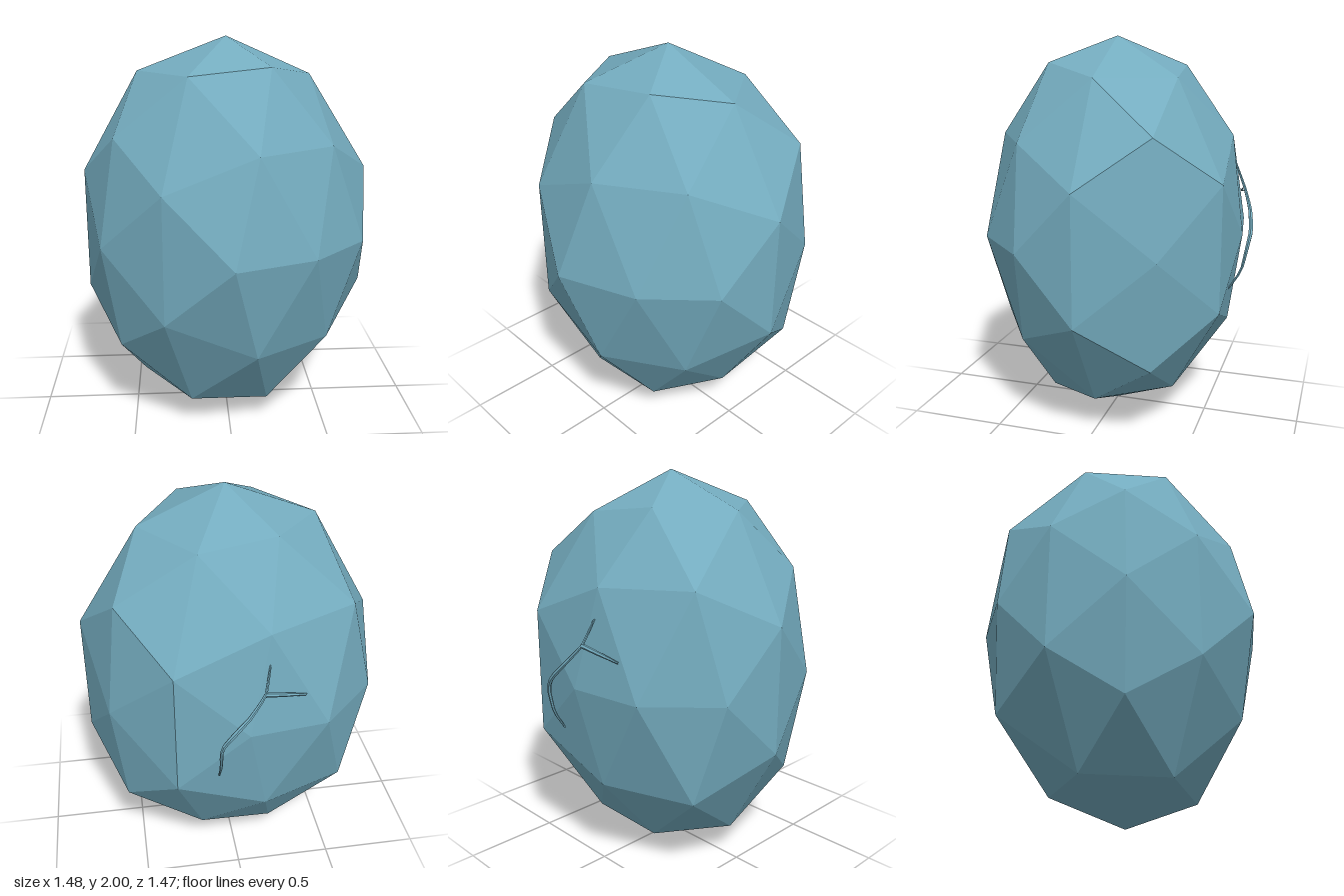
import * as THREE from 'three';
import { ConvexGeometry } from 'three/addons/geometries/ConvexGeometry.js';

// Corners of the upper half (x, height above the middle, z), mirrored for the lower half
const UPPER = [
  [0, 1, 0],
  [0.2, 0.87, 0.3], [-0.2, 0.85, -0.32], [0.43, 0.81, -0.01],
  [-0.2, 0.835, 0.36], [-0.45, 0.83, 0], [0.18, 0.805, -0.36],
  [-0.56, 0.54, 0.3], [0.57, 0.56, -0.34],
  [0.5, 0.5, 0.35], [0.12, 0.5, 0.59], [-0.12, 0.5, -0.59], [-0.56, 0.52, -0.4],
  [0.74, 0.32, -0.01], [-0.33, 0.32, 0.58], [-0.74, 0.32, -0.01], [0.33, 0.32, -0.62],
];
const EQUATOR = [
  [0.68, 0.3], [0.4, 0.58], [0, 0.73], [-0.64, 0.35],
  [-0.7, -0.33], [-0.41, -0.62], [-0.02, -0.67], [0.63, -0.38],
];

// Tube through the points whose radius runs from r0 via rMid to r1
function twigGeometry(points, r0, rMid, r1) {
  const curve = new THREE.CatmullRomCurve3(
    points.map((p) => new THREE.Vector3(...p)), false, 'catmullrom', 0.15);
  const steps = 16, sides = 6;
  const geo = new THREE.TubeGeometry(curve, steps, 1, sides);
  const pos = geo.attributes.position;
  const v = new THREE.Vector3();
  for (let i = 0; i <= steps; i++) {
    const t = i / steps;
    const centre = curve.getPointAt(t);
    const r = t < 0.5
      ? THREE.MathUtils.lerp(r0, rMid, t * 2)
      : THREE.MathUtils.lerp(rMid, r1, t * 2 - 1);
    for (let j = 0; j <= sides; j++) {
      const k = i * (sides + 1) + j;
      v.fromBufferAttribute(pos, k).sub(centre).multiplyScalar(r).add(centre);
      pos.setXYZ(k, v.x, v.y, v.z);
    }
  }
  geo.computeVertexNormals();
  return geo;
}

export function createModel() {
  const group = new THREE.Group();
  group.name = 'facetedBoulder';

  const blue = new THREE.MeshStandardMaterial({ color: 0x74acbf, flatShading: true });
  blue.name = 'dusty blue';

  // Faceted body, symmetrical above and below its middle
  const corners = EQUATOR.map(([x, z]) => new THREE.Vector3(x, 1, z));
  for (const [x, h, z] of UPPER) {
    corners.push(new THREE.Vector3(x, 1 + h, z), new THREE.Vector3(x, 1 - h, z));
  }
  const body = new THREE.Mesh(new ConvexGeometry(corners), blue);
  body.name = 'body';
  group.add(body);

  // Forked twig arching over the back
  const twig = new THREE.Group();
  twig.name = 'twig';
  const fork = [-0.085, 1.23, -0.665];
  const stem = new THREE.Mesh(twigGeometry([
    [0.125, 0.75, -0.63], [0.125, 0.85, -0.69], [0.125, 0.98, -0.717], [0.08, 1.05, -0.726],
    [-0.01, 1.14, -0.705], fork, [-0.115, 1.355, -0.61],
  ], 0.005, 0.012, 0.005), blue);
  stem.name = 'twigStem';
  const branch = new THREE.Mesh(twigGeometry([
    fork, [-0.19, 1.205, -0.642], [-0.29, 1.18, -0.618],
  ], 0.012, 0.01, 0.005), blue);
  branch.name = 'twigBranch';
  twig.add(stem, branch);
  group.add(twig);

  return group;
}
